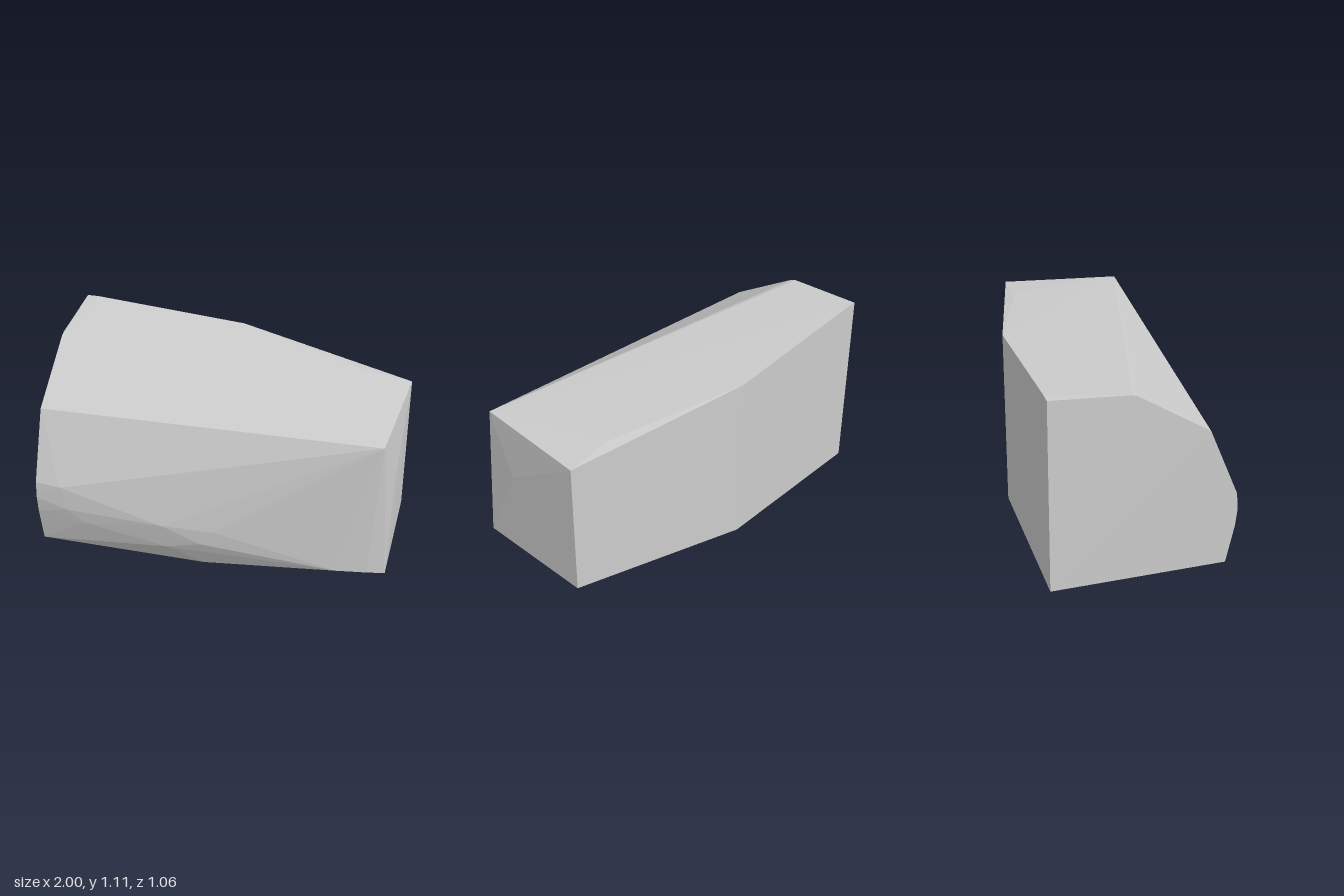
import * as THREE from 'three';
import { ConvexGeometry } from 'three/addons/geometries/ConvexGeometry.js';

export function createModel() {
  const model = new THREE.Group();
  model.name = 'stoneBlock';
  const stone = new THREE.MeshStandardMaterial({ color: 0xcccccc, flatShading: true });
  stone.name = 'stoneGrey';

  // Wide end outline at x = -1, as [y, z]
  const wideEnd = [
    [0, -0.53], [1.11, -0.53], [1.08, -0.1], [1.07, -0.07], [0.815, 0.325],
    [0.42, 0.487], [0.32, 0.495], [0.22, 0.485], [0, 0.44],
  ].map(([y, z]) => [-1, y, z]);

  // Narrow end, with a slightly leaning front top corner
  const narrowEnd = [
    [1, 0.1, -0.28], [1, 0.93, -0.28], [0.995, 0.6, 0.2],
    [0.945, 0.91, 0.413], [1, 0.1, 0.42],
  ];

  // Corners where the back, top and bottom bend
  const bends = [
    [-0.03, 0, -0.53], [-0.03, 1.04, -0.53], [-0.93, 1.11, -0.53],
    [0.73, 0.965, -0.28], [-0.03, 0, 0.445],
  ];

  // Chipped lower part of the bulging front
  const frontChips = [
    [-0.85, 0.42, 0.505], [-0.82, 0.28, 0.512], [-0.25, 0.28, 0.533],
    [0.05, 0.28, 0.523], [-0.72, 0.2, 0.505], [-0.03, 0.185, 0.523],
    [-0.23, 0.12, 0.505], [0.73, 0.105, 0.472], [0.9, 0.105, 0.446],
  ];

  const corners = [...wideEnd, ...narrowEnd, ...bends, ...frontChips];
  const block = new THREE.Mesh(
    new ConvexGeometry(corners.map((p) => new THREE.Vector3(...p))), stone);
  block.name = 'stone';
  model.add(block);
  return model;
}
